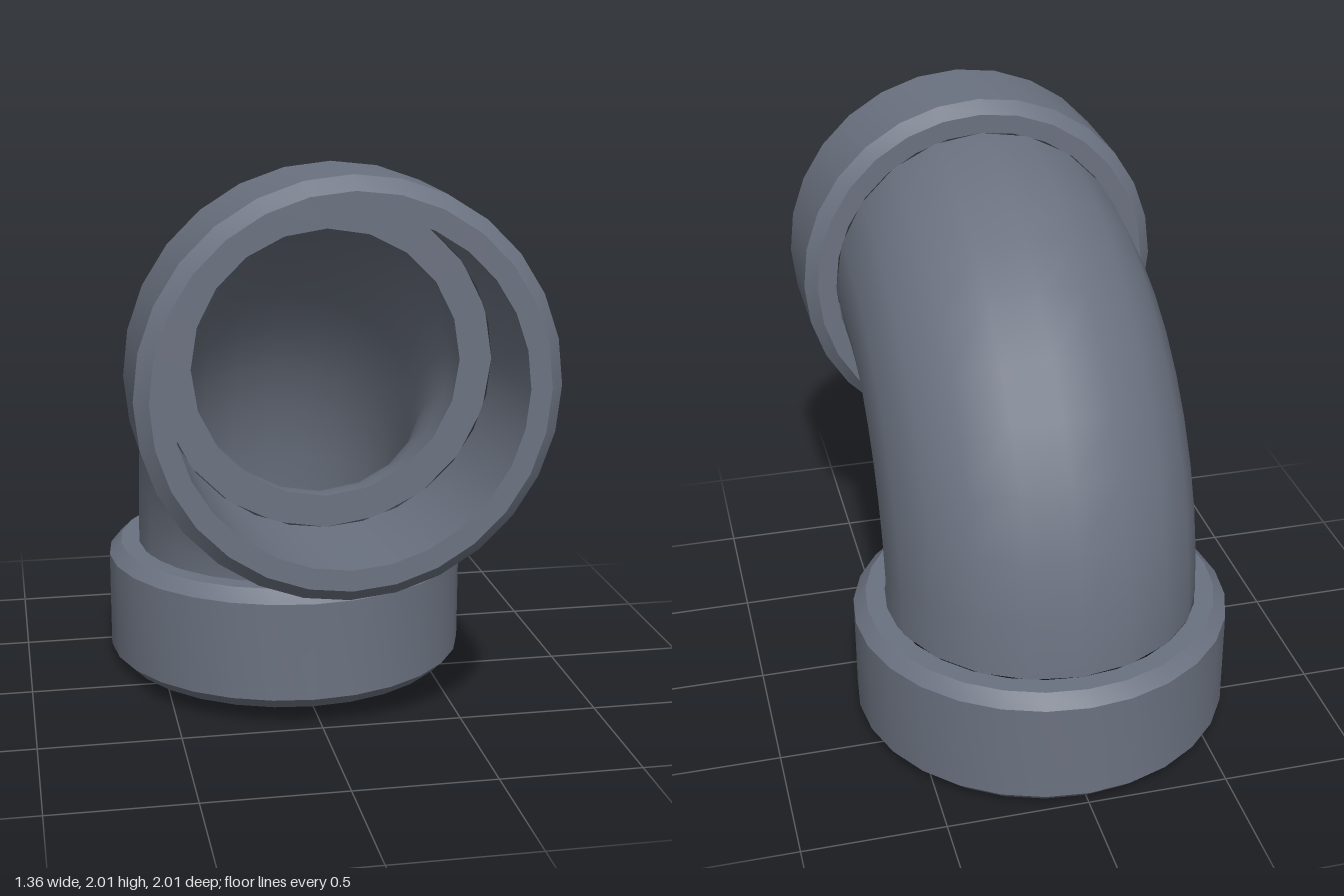
import * as THREE from 'three';
import { toCreasedNormals } from 'three/addons/utils/BufferGeometryUtils.js';

const BEND = 0.87;      // centre-line radius of the elbow
const OUTER = 0.565;    // pipe outer radius, also the socket bore
const INNER = 0.455;    // pipe bore
const COLLAR = 0.68;    // collar outer radius
const LENGTH = 0.455;   // collar length
const CHAMFER = 0.045;
const SIDES = 20;

const material = new THREE.MeshStandardMaterial({ color: 0x6b7280 });

function addMesh(parent, name, geometry) {
  const mesh = new THREE.Mesh(geometry, material);
  mesh.name = name;
  parent.add(mesh);
  return mesh;
}

// Quarter-turn tube wall: a circle revolved about the bend axis.
// direction 1 faces outwards, -1 faces into the bore.
function bendWall(radius, direction) {
  const circle = [];
  for (let i = 0; i <= SIDES; i++) {
    const a = direction * i / SIDES * Math.PI * 2;
    circle.push(new THREE.Vector2(BEND + radius * Math.cos(a), radius * Math.sin(a)));
  }
  const wall = new THREE.LatheGeometry(circle, 10, Math.PI, Math.PI / 2);
  wall.rotateZ(-Math.PI / 2);
  return toCreasedNormals(wall, 0.6);
}

// Socket collar with chamfered outer edges, standing on y = 0
function collarGeometry() {
  const profile = [
    [OUTER, 0], [COLLAR - CHAMFER, 0], [COLLAR, CHAMFER],
    [COLLAR, LENGTH - CHAMFER], [COLLAR - CHAMFER, LENGTH],
    [OUTER, LENGTH], [OUTER, 0],
  ].map(([r, y]) => new THREE.Vector2(r, y));
  return toCreasedNormals(new THREE.LatheGeometry(profile, 28), 0.6);
}

export function createModel() {
  const model = new THREE.Group();
  model.name = 'pipeElbow';
  const frontZ = 1 - LENGTH;
  const lowerZ = frontZ - BEND;
  const upperY = LENGTH + BEND;

  // Curved pipe
  const pipe = new THREE.Group();
  pipe.name = 'bentPipe';
  pipe.position.set(0, LENGTH, frontZ);
  model.add(pipe);
  addMesh(pipe, 'pipeOuterWall', bendWall(OUTER, 1));
  addMesh(pipe, 'pipeBore', bendWall(INNER, -1));

  // Pipe ends, seen as steps inside the sockets
  const ring = new THREE.RingGeometry(INNER, OUTER, SIDES);
  addMesh(pipe, 'frontPipeEnd', ring).position.y = BEND;
  const lowerEnd = addMesh(pipe, 'lowerPipeEnd', ring);
  lowerEnd.position.z = -BEND;
  lowerEnd.rotation.x = Math.PI / 2;

  // Socket collars
  const collar = collarGeometry();
  addMesh(model, 'lowerCollar', collar).position.z = lowerZ;
  const frontCollar = addMesh(model, 'frontCollar', collar);
  frontCollar.position.set(0, upperY, frontZ);
  frontCollar.rotation.x = Math.PI / 2;

  return model;
}
